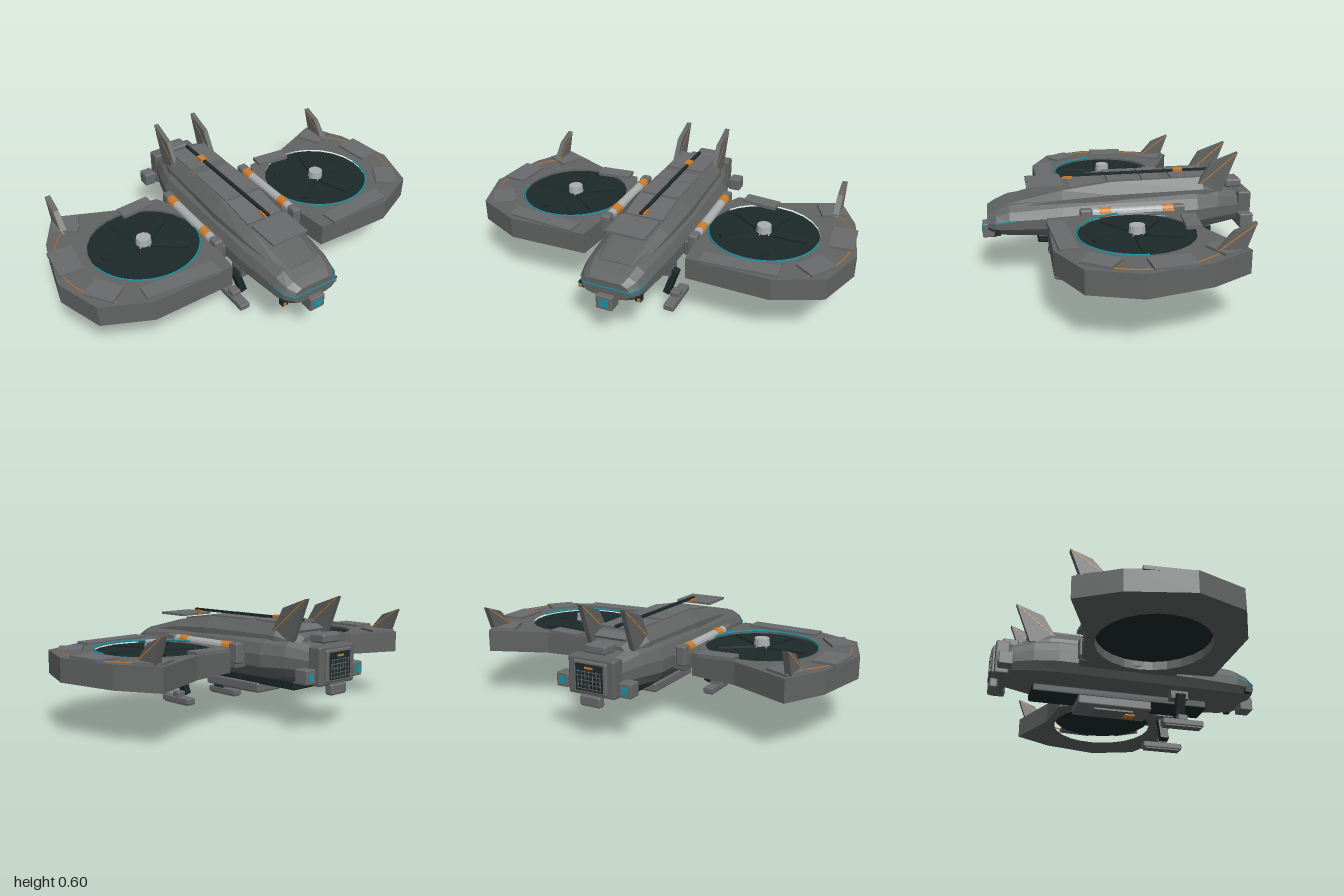
import * as THREE from 'three';
import { RoundedBoxGeometry } from 'three/addons/geometries/RoundedBoxGeometry.js';

const paint = (name, color) => Object.assign(new THREE.MeshStandardMaterial({ color }), { name });

export function createModel() {
  const root = new THREE.Group();
  root.name = 'rotorCraft';
  const hull = paint('hull grey', 0x626464);
  const panel = paint('panel grey', 0x696b6c);
  const dark = paint('dark teal', 0x1d2a2a);
  const light = paint('light metal', 0xaaaeaf);
  const orange = paint('orange', 0xcc7c2c);
  const cyan = paint('cyan', 0x1798ac);

  const add = (name, geo, mat, x = 0, y = 0, z = 0, parent = root) => {
    const m = new THREE.Mesh(geo, mat);
    m.name = name;
    m.position.set(x, y, z);
    parent.add(m);
    return m;
  };
  const box = (name, mat, w, h, d, x, y, z) => add(name, new THREE.BoxGeometry(w, h, d), mat, x, y, z);
  const rbox = (name, mat, w, h, d, x, y, z, r = 0.01) =>
    add(name, new RoundedBoxGeometry(w, h, d, 1, r), mat, x, y, z);
  const flat = (geo) => {
    const g = geo.index ? geo.toNonIndexed() : geo;
    g.computeVertexNormals();
    return g;
  };
  // Straight bar between two points
  const beam = (name, mat, a, b, w, h) => {
    const p = new THREE.Vector3(...a), q = new THREE.Vector3(...b);
    const m = add(name, new THREE.BoxGeometry(w, h, p.distanceTo(q)), mat);
    m.position.copy(p).lerp(q, 0.5);
    m.lookAt(q);
    return m;
  };
  // Mirrored half profile swept through sections [z, halfWidth, bottom, top], front to back
  const loft = (half, sections) => {
    const profile = [...half, ...half.map(([x, t]) => [-x, t]).reverse()];
    const n = profile.length, pos = [], idx = [];
    for (const [z, w, b, t] of sections)
      for (const [u, v] of profile) pos.push(u * w, b + v * (t - b), z);
    for (let i = 0; i < sections.length - 1; i++)
      for (let j = 0; j < n; j++) {
        const a = i * n + j, b = i * n + (j + 1) % n;
        idx.push(a, a + n, b, b, a + n, b + n);
      }
    const last = (sections.length - 1) * n;
    for (let j = 1; j < n - 1; j++) idx.push(0, j, j + 1, last, last + j + 1, last + j);
    const g = new THREE.BufferGeometry();
    g.setAttribute('position', new THREE.Float32BufferAttribute(pos, 3));
    g.setIndex(idx);
    return flat(g);
  };

  // Fuselage and raised back
  add('fuselage', loft([[0.55, 0], [0.85, 0.1], [1, 0.32], [1, 0.6], [0.88, 0.84], [0.65, 1]], [
    [0.667, 0.12, 0.25, 0.335], [0.625, 0.15, 0.23, 0.355], [0.56, 0.165, 0.222, 0.38],
    [0.3, 0.19, 0.21, 0.405], [0, 0.2, 0.205, 0.42], [-0.38, 0.198, 0.208, 0.42],
    [-0.5, 0.165, 0.217, 0.415], [-0.62, 0.12, 0.228, 0.385]]), hull);
  add('raisedBack', loft([[1, 0], [0.98, 0.5], [0.68, 1]], [
    [0.57, 0.115, 0.35, 0.38], [0.3, 0.15, 0.37, 0.442], [0.05, 0.165, 0.37, 0.477],
    [-0.42, 0.15, 0.37, 0.477], [-0.55, 0.11, 0.36, 0.42]]), hull);

  // Back panels and spine rail
  for (const [z, d, y, tilt] of [[0.38, 0.18, 0.463, 0], [0.17, 0.18, 0.462, 0.13], [-0.02, 0.17, 0.478, 0],
    [-0.16, 0.1, 0.478, 0], [-0.36, 0.2, 0.479, 0]]) box('backPanel', panel, 0.2, 0.012, d, 0, y, z).rotation.x = tilt;
  box('rearPanel', panel, 0.17, 0.012, 0.05, 0, 0.455, -0.505).rotation.x = -0.4;
  box('spineRail', dark, 0.016, 0.012, 0.77, 0, 0.49, -0.09);
  box('spineClip', orange, 0.034, 0.012, 0.05, 0, 0.482, 0.26);
  box('spineClip', orange, 0.034, 0.014, 0.05, 0, 0.494, -0.315);

  // Nose sensor and light strip
  rbox('noseSensor', panel, 0.084, 0.072, 0.07, 0, 0.23, 0.66, 0.006);
  box('sensorLens', cyan, 0.044, 0.038, 0.006, 0, 0.23, 0.695);
  box('noseLight', cyan, 0.24, 0.006, 0.005, 0, 0.3, 0.667);

  // Engine block
  rbox('engineBlock', hull, 0.25, 0.18, 0.07, 0, 0.302, -0.648);
  rbox('engineRim', panel, 0.18, 0.15, 0.025, 0, 0.302, -0.683, 0.008);
  box('engineGrille', dark, 0.145, 0.125, 0.008, 0, 0.302, -0.695);
  for (let i = -3; i <= 3; i++) {
    box('grilleBar', panel, 0.003, 0.09, 0.004, i * 0.02, 0.29, -0.698);
    if (Math.abs(i) < 3) box('grilleSlat', panel, 0.13, 0.003, 0.004, 0, 0.29 + i * 0.02, -0.698);
  }
  box('engineMark', orange, 0.045, 0.01, 0.005, 0, 0.348, -0.699);
  rbox('engineTopBox', panel, 0.115, 0.042, 0.085, 0, 0.42, -0.607);
  rbox('engineLowerBox', panel, 0.11, 0.052, 0.042, 0, 0.191, -0.677);

  // Belly
  rbox('bellyBeam', dark, 0.15, 0.045, 0.91, 0, 0.183, -0.035);
  rbox('bellyPod', panel, 0.166, 0.05, 0.38, 0, 0.14, -0.07);
  box('bellyPlate', hull, 0.1, 0.012, 0.2, 0, 0.112, -0.07);
  box('bellyMark', orange, 0.05, 0.008, 0.05, 0, 0.104, 0.02);

  // Fin standing in the z-y plane, with a stripe from the first towards the third corner
  const fin = (name, x, pts, thick) => {
    const g = new THREE.ExtrudeGeometry(new THREE.Shape(pts.map((p) => new THREE.Vector2(...p))),
      { depth: thick, bevelEnabled: false });
    g.translate(0, 0, -thick / 2).rotateY(-Math.PI / 2);
    add(name, g, hull, x);
    const [a, b] = [0.05, 0.95].map((t) => [x, ...[1, 0].map((k) => THREE.MathUtils.lerp(pts[0][k], pts[2][k], t))]);
    beam(name + 'Stripe', orange, a, b, thick + 0.002, 0.005);
  };

  const outline = [[0.27, 0.385], [0.685, 0.395], [0.915, 0.29], [0.997, 0.05], [0.93, -0.25], [0.82, -0.445],
    [0.53, -0.32], [0.3, -0.29], [0.25, -0.18], [0.25, 0.18]];
  const podPlates = [[0.79, -0.34, 0.13, 0.13, 0.45], [0.905, -0.075, 0.12, 0.19, 0.08], [0.845, 0.212, 0.15, 0.11, 0.95],
    [0.52, 0.34, 0.37, 0.085, 0.07], [0.43, -0.28, 0.18, 0.075, -0.1]];

  for (const s of [1, -1]) {
    // Rotor pod
    const shape = new THREE.Shape(outline.map(([x, z]) => new THREE.Vector2(s * x, z)));
    shape.holes.push(new THREE.Path().absarc(s * 0.53, 0, 0.274, 0, Math.PI * 2, true));
    const ring = new THREE.ExtrudeGeometry(shape, { depth: 0.11, bevelEnabled: false, curveSegments: 12 });
    add('rotorPod', ring.rotateX(Math.PI / 2), hull, 0, 0.36);
    for (const [x, z, w, d, turn] of podPlates)
      box('podPlate', panel, w, 0.018, d, s * x, 0.363, z).rotation.y = s * turn;
    const stripe = new THREE.TorusGeometry(0.425, 0.003, 4, 20, 1.75).rotateZ(-0.95).rotateX(Math.PI / 2);
    add('podStripe', s > 0 ? stripe : stripe.rotateZ(Math.PI), orange, s * 0.53, 0.361);

    // Rotor
    add('rotorDisc', flat(new THREE.CylinderGeometry(0.276, 0.276, 0.055, 24)), dark, s * 0.53, 0.322);
    for (let i = 0; i < 5; i++) {
      const a = i * Math.PI * 0.4 + (s > 0 ? 0 : Math.PI);
      const blade = box('rotorBlade', dark, 0.19, 0.01, 0.04,
        s * 0.53 + Math.cos(a) * 0.125, 0.357, Math.sin(a) * 0.125);
      blade.rotation.set(0.12, -a, 0, 'YXZ');
    }
    add('rotorHub', flat(new THREE.CylinderGeometry(0.036, 0.04, 0.045, 12)), light, s * 0.53, 0.375);
    const glow = new THREE.TorusGeometry(0.274, 0.005, 4, 28, Math.PI * 0.95);
    add('rotorLight', glow.rotateX(Math.PI / 2), cyan, s * 0.53, 0.361);

    // Fins
    fin('podFin', s * 0.82, [[-0.28, 0.362], [-0.36, 0.45], [-0.455, 0.485], [-0.41, 0.362]], 0.028);
    fin('tailFin', s * 0.115, [[-0.38, 0.425], [-0.46, 0.555], [-0.598, 0.604], [-0.52, 0.4]], 0.025);

    // Pod mount with side tube
    rbox('podMount', hull, 0.07, 0.08, 0.5, s * 0.225, 0.3, -0.035);
    for (const z of [-0.265, 0.195]) rbox('mountBlock', panel, 0.05, 0.1, 0.06, s * 0.238, 0.335, z);
    const tube = new THREE.CylinderGeometry(0.024, 0.024, 0.4, 12).rotateX(Math.PI / 2);
    add('sideTube', flat(tube), light, s * 0.238, 0.36, -0.035);
    for (const z of [-0.212, 0.1]) {
      const band = new THREE.CylinderGeometry(0.027, 0.027, 0.055, 12).rotateX(Math.PI / 2);
      add('tubeBand', flat(band), orange, s * 0.238, 0.36, z);
    }

    // Nose side lights and ports
    beam('noseLight', cyan, [s * 0.12, 0.3, 0.667], [s * 0.15, 0.304, 0.625], 0.005, 0.006);
    beam('noseLight', cyan, [s * 0.15, 0.304, 0.625], [s * 0.167, 0.316, 0.535], 0.005, 0.006);
    box('nosePort', dark, 0.03, 0.03, 0.03, s * 0.145, 0.258, 0.622);
    box('nosePortMark', orange, 0.015, 0.015, 0.006, s * 0.15, 0.255, 0.637);

    // Rear thruster boxes
    box('thrusterArm', hull, 0.06, 0.03, 0.04, s * 0.125, 0.265, -0.635);
    rbox('thruster', panel, 0.064, 0.068, 0.07, s * 0.17, 0.262, -0.637, 0.006);
    box('thrusterLight', cyan, 0.032, 0.034, 0.006, s * 0.17, 0.262, -0.672);

    // Landing leg
    box('legMount', hull, 0.055, 0.04, 0.09, s * 0.125, 0.187, 0.247);
    beam('legStrut', dark, [s * 0.167, 0.185, 0.247], [s * 0.12, 0.045, 0.247], 0.045, 0.034);
    rbox('ankle', panel, 0.05, 0.03, 0.05, s * 0.168, 0.05, 0.247, 0.006);
    rbox('foot', panel, 0.055, 0.032, 0.21, s * 0.17, 0.022, 0.247, 0.006);
    box('footSole', hull, 0.045, 0.008, 0.19, s * 0.17, 0.004, 0.247);
  }
  return root;
}
